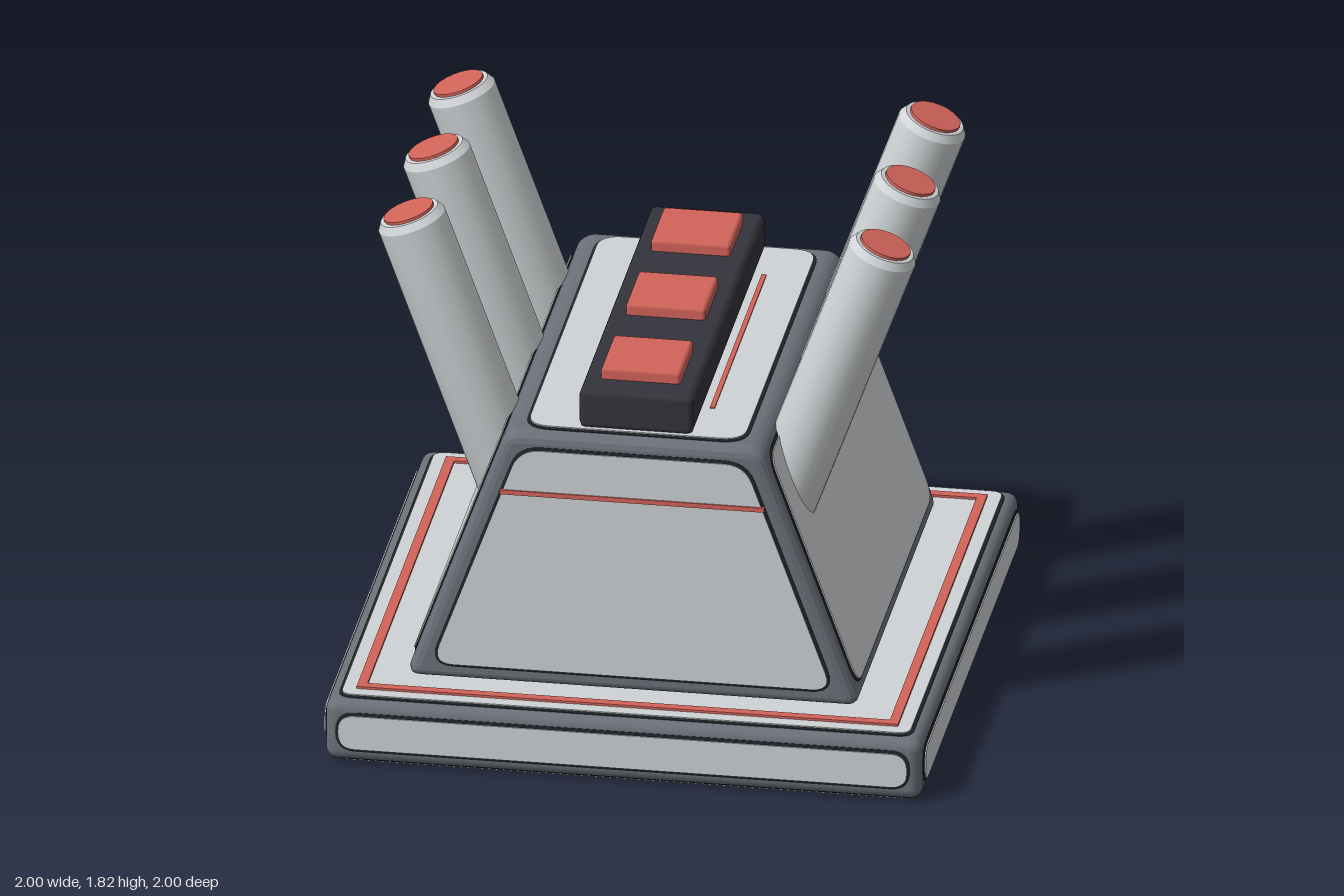
import * as THREE from 'three';
import { RoundedBoxGeometry } from 'three/addons/geometries/RoundedBoxGeometry.js';

const mat = (name, color) => {
  const m = new THREE.MeshStandardMaterial({ color });
  m.name = name;
  return m;
};

// Closed convex outline with rounded corners
function roundedShape(points, r) {
  const pts = points.map(([x, y]) => new THREE.Vector2(x, y));
  const s = new THREE.Shape();
  pts.forEach((p, i) => {
    const prev = pts[(i + pts.length - 1) % pts.length];
    const next = pts[(i + 1) % pts.length];
    const a = p.clone().add(prev.clone().sub(p).setLength(r));
    const b = p.clone().add(next.clone().sub(p).setLength(r));
    if (i === 0) s.moveTo(a.x, a.y); else s.lineTo(a.x, a.y);
    s.quadraticCurveTo(p.x, p.y, b.x, b.y);
  });
  s.closePath();
  return s;
}
const rect = (w, h) => [[-w, -h], [w, -h], [w, h], [-w, h]];

export function createModel() {
  const light = mat('light panel', 0xcfd3d5);
  const frame = mat('grey frame', 0x6b7079);
  const dark = mat('dark block', 0x34343c);
  const seam = mat('seam', 0x202328);
  const red = mat('red accent', 0xd2645a);

  const model = new THREE.Group();
  model.name = 'model';
  const add = (parent, name, geo, material, x = 0, y = 0, z = 0) => {
    const m = new THREE.Mesh(geo, material);
    m.name = name;
    m.position.set(x, y, z);
    parent.add(m);
    return m;
  };

  // Thin inset panel with a dark seam around it, facing local +z
  const panel = (name, points, r, pos, pitch, yaw) => {
    const g = new THREE.Group();
    g.name = name;
    const shape = roundedShape(points, r);
    add(g, name + 'Seam', new THREE.ExtrudeGeometry(shape, {
      depth: 0.002, bevelThickness: 0.003, bevelSize: 0.01, bevelSegments: 1, curveSegments: 6,
    }), seam);
    add(g, name + 'Face', new THREE.ExtrudeGeometry(shape, {
      depth: 0.009, bevelEnabled: false, curveSegments: 6,
    }), light);
    g.position.set(...pos);
    g.rotation.set(pitch, yaw, 0, 'YXZ');
    model.add(g);
    return g;
  };

  // Base slab with panels on all six sides
  add(model, 'baseFrame', new RoundedBoxGeometry(1.982, 0.217, 1.982, 3, 0.04), frame, 0, 0.1175, 0);
  for (let i = 0; i < 4; i++) {
    const a = i * Math.PI / 2;
    panel('baseSidePanel', rect(0.945, 0.06), 0.055,
      [Math.sin(a) * 0.991, 0.12, Math.cos(a) * 0.991], 0, a);
  }
  panel('baseTopPanel', rect(0.945, 0.945), 0.04, [0, 0.226, 0], -Math.PI / 2, 0);
  panel('basePanelUnder', rect(0.95, 0.95), 0.02, [0, 0.009, 0], Math.PI / 2, 0);

  // Red border line on the base
  const ring = new THREE.Shape(rect(0.9, 0.9).map(p => new THREE.Vector2(...p)));
  ring.holes.push(new THREE.Path(rect(0.868, 0.868).reverse().map(p => new THREE.Vector2(...p))));
  add(model, 'baseBorder', new THREE.ExtrudeGeometry(ring, { depth: 0.008, bevelEnabled: false }),
    red, 0, 0.235, 0).rotation.x = -Math.PI / 2;

  // Tapered body frame
  const tilt = THREE.MathUtils.degToRad(20);
  const bodyOutline = [[-0.757, 0.24], [0.757, 0.24], [0.426, 1.15], [-0.426, 1.15]];
  const body = new THREE.ExtrudeGeometry(roundedShape(bodyOutline, 0.05), {
    depth: 1.51, bevelThickness: 0.04, bevelSize: 0.035, bevelOffset: -0.035,
    bevelSegments: 3, curveSegments: 6,
  });
  body.translate(0, 0, -0.755);
  add(model, 'bodyFrame', body, frame);

  // Front and back panels with a red stripe
  const endOutline = [[-0.665, 0.3], [0.665, 0.3], [0.375, 1.095], [-0.375, 1.095]];
  for (const yaw of [0, Math.PI]) {
    const g = panel('bodyEndPanel', endOutline, 0.07, [0, 0, Math.cos(yaw) * 0.795], 0, yaw);
    add(g, 'endStripe', new THREE.BoxGeometry(0.88, 0.016, 0.018), red, 0, 0.94, 0.005);
  }

  // Sloping side panels with a red stripe
  for (const s of [-1, 1]) {
    const g = panel('bodySidePanel', rect(0.74, 0.426), 0.07,
      [s * 0.589, 0.7, 0], -tilt, s * Math.PI / 2);
    add(g, 'sideStripe', new THREE.BoxGeometry(1.04, 0.016, 0.016), red, 0, 0.262, 0.005);
  }

  // Top panel with an offset red line
  panel('bodyTopPanel', rect(0.36, 0.74), 0.08, [0, 1.15, 0], -Math.PI / 2, 0);
  add(model, 'topStripe', new THREE.BoxGeometry(0.016, 0.016, 1.04), red, 0.22, 1.156, 0);

  // Dark block carrying three red buttons
  add(model, 'buttonBlock', new RoundedBoxGeometry(0.38, 0.14, 1.46, 1, 0.022), dark, 0, 1.222, 0);
  for (const z of [-0.5, 0, 0.5]) {
    add(model, 'button', new RoundedBoxGeometry(0.265, 0.06, 0.265, 1, 0.012), red, 0, 1.302, z);
  }

  // Leaning tubes with red caps, three on each side
  const profile = [[0, -1.15], [0.116, -1.15], [0.116, -0.025], [0.116, -0.025], [0.1, 0], [0.1, 0], [0, 0]]
    .map(p => new THREE.Vector2(...p));
  const tubeGeo = new THREE.LatheGeometry(profile, 28);
  const capGeo = new THREE.CylinderGeometry(0.086, 0.086, 0.012, 20);
  for (const s of [-1, 1]) {
    for (const z of [-0.5, 0, 0.5]) {
      const g = new THREE.Group();
      g.name = 'tube';
      add(g, 'tubeBarrel', tubeGeo, light);
      add(g, 'tubeCap', capGeo, red, 0, 0.004, 0);
      g.position.set(s * 0.791, 1.782, z);
      g.rotation.z = -s * tilt;
      model.add(g);
    }
  }
  return model;
}
